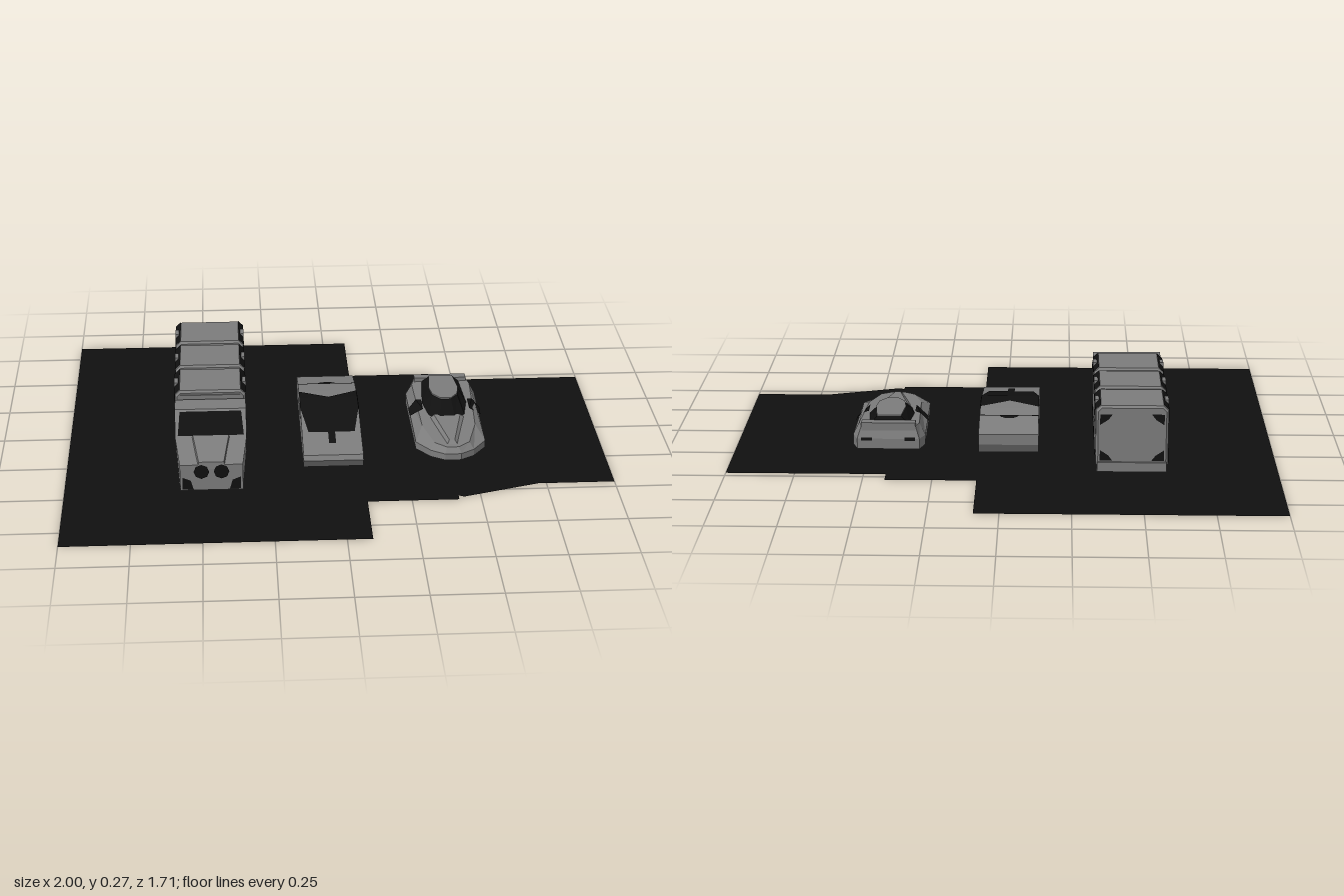
import * as THREE from 'three';

const grey = new THREE.MeshStandardMaterial({ color: 0x7c7c7c, flatShading: true });
grey.name = 'body grey';
const black = new THREE.MeshStandardMaterial({ color: 0x101010, flatShading: true, side: THREE.DoubleSide });
black.name = 'glass black';

function add(parent, name, geometry, material, x = 0, y = 0, z = 0) {
  const mesh = new THREE.Mesh(geometry, material);
  mesh.name = name;
  mesh.position.set(x, y, z);
  parent.add(mesh);
  return mesh;
}

function box(parent, name, w, h, d, x, y, z, material = grey) {
  return add(parent, name, new THREE.BoxGeometry(w, h, d), material, x, y, z);
}

function toShape(points) {
  return new THREE.Shape(points.map(([x, y]) => new THREE.Vector2(x, y)));
}

// Side outline of [z, y] points, extruded across the width
function sideExtrude(points, width) {
  const g = new THREE.ExtrudeGeometry(toShape(points), { depth: width, bevelEnabled: false });
  return g.rotateY(-Math.PI / 2).translate(width / 2, 0, 0);
}

function fromTriangles(points) {
  const g = new THREE.BufferGeometry();
  g.setAttribute('position', new THREE.Float32BufferAttribute(points.flat(), 3));
  g.computeVertexNormals();
  return g;
}

// Flat painted polygon
function panel(parent, name, pts, material = black) {
  const tris = [];
  for (let i = 1; i < pts.length - 1; i++) tris.push(pts[0], pts[i], pts[i + 1]);
  return add(parent, name, fromTriangles(tris), material);
}

// Symmetric horizontal ring from half an outline of [x, z], front to rear
function ring(half, height) {
  const pts = half.map(([x, z]) => [x, height(z), z]);
  return [...pts, ...pts.map(([x, y, z]) => [-x, y, z]).reverse()];
}

// Closed skin through rings stacked from bottom to top
function loft(rings) {
  const tris = [], n = rings[0].length;
  for (let r = 0; r < rings.length - 1; r++) {
    for (let i = 0; i < n; i++) {
      const j = (i + 1) % n, lo = rings[r], hi = rings[r + 1];
      tris.push(lo[i], lo[j], hi[j], lo[i], hi[j], hi[i]);
    }
  }
  const bottom = rings[0], top = rings[rings.length - 1];
  for (let i = 1; i < n - 1; i++) {
    tris.push(top[0], top[i], top[i + 1], bottom[0], bottom[i + 1], bottom[i]);
  }
  return fromTriangles(tris);
}

function makeGround() {
  const outline = [[-1, -0.86], [0.09, -0.86], [0.09, -0.53], [0.42, -0.53], [0.42, -0.47], [1, -0.47],
    [1, 0.46], [0.72, 0.46], [0.44, 0.55], [0.42, 0.54], [0.42, 0.57], [0.09, 0.57], [0.09, 0.85], [-1, 0.85]];
  const g = new THREE.ShapeGeometry(toShape(outline.map(([x, z]) => [x, -z])));
  const mesh = new THREE.Mesh(g.rotateX(-Math.PI / 2), black);
  mesh.name = 'ground';
  return mesh;
}

function makeContainer() {
  const g = new THREE.Group();
  g.name = 'container';
  const depth = 0.205, e = depth / 2;
  const section = [[-0.12, 0.04], [0.12, 0.04], [0.13, 0.05], [0.13, 0.252], [0.112, 0.27],
    [-0.112, 0.27], [-0.13, 0.252], [-0.13, 0.05]];
  const body = new THREE.ExtrudeGeometry(toShape(section), { depth: depth - 0.016, bevelThickness: 0.008, bevelSize: 0.008, bevelOffset: -0.008, bevelSegments: 1 });
  add(g, 'containerBody', body.translate(0, 0, -e + 0.008), grey);
  for (const s of [-1, 1]) {
    const side = s * 0.1325, edge = s * 0.1125;
    // Upper dark band, wrapping over the chamfer
    panel(g, 'upperBand', [[side, 0.21, -0.095], [side, 0.21, -0.045], [side, 0.198, -0.035],
      [side, 0.198, 0.035], [side, 0.21, 0.045], [side, 0.21, 0.095], [side, 0.253, 0.095], [side, 0.253, -0.095]]);
    panel(g, 'chamferBand', [[side, 0.253, -0.095], [side, 0.253, 0.095], [edge, 0.2725, 0.095], [edge, 0.2725, -0.095]]);
    // Lower dark patch
    panel(g, 'lowerPatch', [[side, 0.05, -0.085], [side, 0.045, 0.085], [side, 0.085, 0.085],
      [side, 0.1, 0.05], [side, 0.1, -0.05], [side, 0.085, -0.085]]);
    box(g, 'latch', 0.014, 0.018, 0.045, s * 0.126, 0.26, 0);
  }
  return g;
}

function makeTruck() {
  const g = new THREE.Group();
  g.name = 'truck';
  g.position.x = -0.467;
  // Cab with a tapering nose
  const cab = sideExtrude([[0.18, 0.025], [0.495, 0.025], [0.495, 0.125], [0.35, 0.165], [0.275, 0.243], [0.19, 0.243], [0.18, 0.235]], 0.26);
  const p = cab.attributes.position;
  for (let i = 0; i < p.count; i++) if (p.getZ(i) > 0.4) p.setX(i, p.getX(i) * 0.87);
  cab.computeVertexNormals();
  add(g, 'cab', cab, grey);
  // Raised bonnet
  add(g, 'bonnet', loft([
    ring([[0.05, 0.497], [0.075, 0.345]], z => 0.11 + (0.497 - z) * 0.25),
    ring([[0.045, 0.495], [0.065, 0.35]], z => 0.136 + (0.495 - z) * 0.25)]), grey);
  panel(g, 'windscreen', [[-0.12, 0.171, 0.348], [0.12, 0.171, 0.348], [0.112, 0.238, 0.284], [-0.112, 0.238, 0.284]]);
  for (const s of [-1, 1]) {
    panel(g, 'sideWindow', [[s * 0.132, 0.172, 0.325], [s * 0.132, 0.232, 0.275], [s * 0.132, 0.232, 0.215],
      [s * 0.132, 0.18, 0.215], [s * 0.132, 0.165, 0.25]]);
    add(g, 'headlight', new THREE.CircleGeometry(0.028, 8), black, s * 0.036, 0.1, 0.5);
    panel(g, 'bumperVent', [[s * 0.105, 0.03, 0.499], [s * 0.065, 0.03, 0.499], [s * 0.075, 0.065, 0.499], [s * 0.105, 0.078, 0.499]]);
  }
  // Chassis, connecting core and containers
  box(g, 'chassis', 0.25, 0.035, 0.68, 0, 0.0425, -0.155);
  box(g, 'core', 0.22, 0.2, 0.64, 0, 0.155, -0.14);
  for (const z of [0.073, -0.155, -0.383]) {
    const c = makeContainer();
    c.position.z = z;
    g.add(c);
  }
  // Dark corner marks on the rear door
  for (const s of [-1, 1]) for (const [y, t] of [[0.24, -1], [0.065, 1]]) {
    panel(g, 'rearCornerMark', [[s * 0.115, y, -0.4885], [s * 0.07, y, -0.4885], [s * 0.085, y + t * 0.02, -0.4885], [s * 0.115, y + t * 0.04, -0.4885]]);
  }
  return g;
}

function makeWedgeCar() {
  const g = new THREE.Group();
  g.name = 'wedgeCar';
  g.position.x = -0.02;
  const w = 0.11;
  // Roofline from nose to tail as [z, y]
  const roof = [[0.34, 0.076], [0.2, 0.1], [0.05, 0.13], [-0.03, 0.137], [-0.1, 0.133], [-0.18, 0.126], [-0.31, 0.1]];
  const roofY = z => {
    const i = Math.max(1, roof.findIndex(q => q[0] <= z));
    const [a, b] = [roof[i - 1], roof[i]];
    return a[1] + (b[1] - a[1]) * (a[0] - z) / (a[0] - b[0]);
  };
  add(g, 'carBody', sideExtrude([...roof, [-0.31, 0.06], [-0.29, 0.025], [0.33, 0.025], [0.35, 0.058]], 2 * w), grey);
  // Paint laid on the roofline, in rows of [z, x from, x to]
  const drape = (name, rows) => {
    for (let i = 0; i < rows.length - 1; i++) {
      const [[z0, a, b], [z1, c, d]] = [rows[i], rows[i + 1]];
      panel(g, name, [[a, roofY(z0) + 0.003, z0], [b, roofY(z0) + 0.003, z0], [d, roofY(z1) + 0.003, z1], [c, roofY(z1) + 0.003, z1]]);
    }
  };
  drape('bonnetStripe', [[0.272, -0.013, 0.013], [0.2, -0.013, 0.013]]);
  drape('windscreen', [[0.2, -0.086, 0.086], [0.05, -w, w]]);
  for (const s of [-1, 1]) {
    drape('roofGlass', [[0.05, 0, s * w], [-0.03, 0, s * w], [-0.09, s * w, s * w]]);
    panel(g, 'sideWindow', [[s * 0.112, 0.112, 0.12], [s * 0.112, 0.128, 0.04], [s * 0.112, 0.133, -0.03],
      [s * 0.112, 0.128, -0.1], [s * 0.112, 0.105, -0.05], [s * 0.112, 0.1, 0.05]]);
  }
  drape('rearSeam', [[-0.172, -w, w], [-0.178, -w, w]]);
  drape('rearGlass', [[-0.178, -0.035, 0.035], [-0.187, -0.03, 0.03], [-0.196, -0.015, 0.015]]);
  return g;
}

function makeHoverCar() {
  const g = new THREE.Group();
  g.name = 'hoverCar';
  g.position.x = 0.425;
  const hull = [[0.03, 0.303], [0.08, 0.27], [0.13, 0.2], [0.134, -0.21], [0.115, -0.265]];
  const deck = [[0.022, 0.285], [0.065, 0.25], [0.1, 0.12], [0.112, -0.2], [0.1, -0.25]];
  const deckY = z => 0.07 + (0.285 - z) * 0.075;
  add(g, 'hull', loft([ring(hull, () => 0.025), ring(hull, z => 0.05 + (0.3 - z) * 0.025), ring(deck, deckY)]), grey);
  // Raised bonnet
  add(g, 'bonnet', loft([ring([[0.022, 0.27], [0.07, 0.06]], z => deckY(z) - 0.005),
    ring([[0.01, 0.25], [0.05, 0.06]], z => deckY(z) + 0.01)]), grey);
  // Dark canopy with a grey roof
  const base = [[0.03, 0.1], [0.07, 0.05], [0.088, -0.05], [0.075, -0.225]];
  const top = [[0.02, 0.0], [0.048, -0.04], [0.056, -0.1], [0.045, -0.21]];
  add(g, 'canopy', loft([ring(base, z => deckY(z) - 0.004), ring(top, () => 0.134)]), black);
  add(g, 'canopyRoof', loft([ring(top, () => 0.133), ring(top, () => 0.139)]), grey);
  // Rear deck and dark side intakes
  box(g, 'rearDeck', 0.2, 0.03, 0.035, 0, 0.108, -0.238);
  for (const s of [-1, 1]) {
    panel(g, 'sideIntake', [[s * 0.088, 0.104, 0.02], [s * 0.135, 0.066, 0.0], [s * 0.137, 0.068, -0.06], [s * 0.108, 0.101, -0.07], [s * 0.088, 0.105, -0.06]]);
    panel(g, 'rearLight', [[s * 0.1, 0.07, -0.267], [s * 0.06, 0.07, -0.267], [s * 0.06, 0.058, -0.268], [s * 0.1, 0.058, -0.268]]);
  }
  return g;
}

export function createModel() {
  const model = new THREE.Group();
  model.name = 'vehicleDisplay';
  model.add(makeGround(), makeTruck(), makeWedgeCar(), makeHoverCar());
  return model;
}
